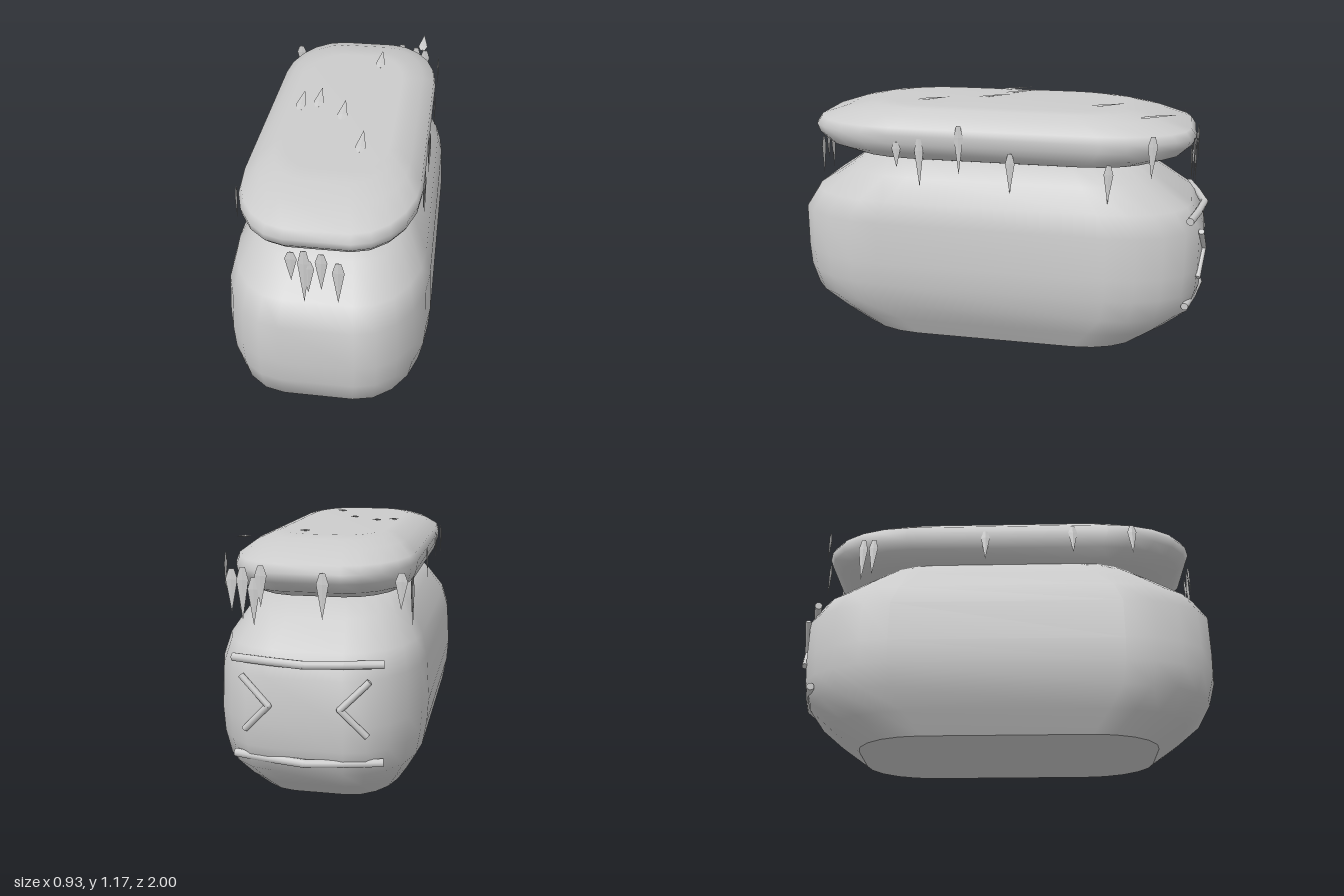
import * as THREE from 'three';

const material = new THREE.MeshStandardMaterial({ color: 0xcccccc });
const tuftMaterial = new THREE.MeshStandardMaterial({ color: 0xcccccc, flatShading: true, side: THREE.DoubleSide });

// Stack of rounded-rectangle rings, each [y, half width, half length]
function loaf(name, rings, { back = 1, point = 0, steps = 5 }) {
  const pos = [], index = [];
  const corners = [[1, 1], [1, -1], [-1, -1], [-1, 1]];
  for (const [y, hx, hz] of rings) {
    const rx = hx * 0.65, rz = hz * 0.45;
    corners.forEach(([sx, sz], q) => {
      for (let i = 0; i <= steps; i++) {
        const a = (q + i / steps) * Math.PI / 2;
        const x = sx * (hx - rx) + rx * Math.sin(a);
        let z = sz * (hz - rz) + rz * Math.cos(a);
        // ends come to a faint ridge at the middle
        z *= 1 - point * Math.abs(x) / 0.4;
        pos.push(x, y, z < 0 ? z * back : z);
      }
    });
  }
  const n = corners.length * (steps + 1);
  for (let r = 0; r < rings.length - 1; r++) {
    for (let i = 0; i < n; i++) {
      const a = r * n + i, b = r * n + (i + 1) % n;
      index.push(a, b, a + n, b, b + n, a + n);
    }
  }
  const geo = new THREE.BufferGeometry();
  geo.setAttribute('position', new THREE.Float32BufferAttribute(pos, 3));
  geo.setIndex(index);
  geo.computeVertexNormals();
  const mesh = new THREE.Mesh(geo, material);
  mesh.name = name;
  return mesh;
}

// Flat pointed tuft hanging from its origin
function tuft(name, x, y, z, length, yaw = 0, pitch = 0, radius = 0.026) {
  const profile = [[0, -length], [radius, -length * 0.24], [radius * 0.45, 0], [0, 0]]
    .map(([r, h]) => new THREE.Vector2(r, h));
  const geo = new THREE.LatheGeometry(profile, 4);
  geo.scale(1, 1, 0.2);
  const mesh = new THREE.Mesh(geo, tuftMaterial);
  mesh.name = name;
  mesh.position.set(x, y, z);
  mesh.rotation.set(pitch, yaw, 0, 'YXZ');
  return mesh;
}

// Round rod through a few points, with closed ends
function rod(name, points, radius) {
  const group = new THREE.Group();
  group.name = name;
  const v = points.map(p => new THREE.Vector3(...p));
  for (let i = 0; i < v.length - 1; i++) {
    const dir = v[i + 1].clone().sub(v[i]);
    const mesh = new THREE.Mesh(new THREE.CylinderGeometry(radius, radius, dir.length(), 10), material);
    mesh.position.copy(v[i]).addScaledVector(dir, 0.5);
    mesh.quaternion.setFromUnitVectors(new THREE.Vector3(0, 1, 0), dir.normalize());
    mesh.name = name + 'Segment';
    group.add(mesh);
    if (i > 0) {
      const joint = new THREE.Mesh(new THREE.SphereGeometry(radius, 10, 8), material);
      joint.position.copy(v[i]);
      joint.name = name + 'Joint';
      group.add(joint);
    }
  }
  return group;
}

export function createModel() {
  const model = new THREE.Group();
  model.name = 'furryLoaf';

  // Plump body; the doubled first ring keeps the base edge sharp
  model.add(loaf('body', [
    [0, 0.001, 0.001], [0, 0.335, 0.715], [0, 0.335, 0.715], [0.1, 0.39, 0.85],
    [0.2, 0.44, 0.965], [0.31, 0.46, 0.995], [0.42, 0.467, 1.0], [0.62, 0.455, 1.0],
    [0.72, 0.43, 0.935], [0.83, 0.365, 0.77], [0.91, 0.30, 0.66], [0.95, 0.001, 0.001],
  ], { back: 0.985 }));

  // Cushion-like slab on top
  const slab = loaf('topSlab', [
    [0.90, 0.001, 0.001], [0.90, 0.28, 0.66], [0.915, 0.33, 0.76], [0.955, 0.38, 0.88],
    [1.0, 0.395, 0.93], [1.04, 0.40, 0.945], [1.075, 0.39, 0.92], [1.12, 0.335, 0.78],
    [1.145, 0.28, 0.66], [1.155, 0.24, 0.58], [1.156, 0.001, 0.001],
  ], { back: 0.985, point: 0.03 });
  model.add(slab);

  // Front fringe: x, top y, length
  for (const [x, y, l] of [[-0.105, 0.98, 0.14], [-0.052, 0.99, 0.26], [0.02, 0.98, 0.18], [0.09, 0.94, 0.2]])
    model.add(tuft('frontTuft', x, y, 0.935, l, 0, -0.04));
  model.add(tuft('frontTuft', -0.035, 0.94, 0.935, 0.16, 0, -0.04));

  // Back fringe: x, z, top y, length
  for (const [x, z, y, l] of [[0.32, -0.9, 1.05, 0.18], [0.27, -0.91, 1.06, 0.22], [0.22, -0.92, 1.02, 0.2],
    [0.19, -0.92, 1.07, 0.17], [-0.07, -0.935, 1.05, 0.19], [-0.38, -0.87, 1.05, 0.15]])
    model.add(tuft('backTuft', x, y, z, l, 0, 0.04));

  // Side fringes: side, z, top y, length
  for (const [s, z, y, l] of [
    [1, 0.45, 1.01, 0.12], [1, 0.34, 1.03, 0.23], [1, 0.15, 1.10, 0.23],
    [1, -0.09, 0.98, 0.19], [1, -0.54, 0.95, 0.18], [1, -0.73, 1.09, 0.19],
    [-1, 0.62, 1.06, 0.16], [-1, 0.33, 1.06, 0.15], [-1, -0.1, 1.04, 0.16],
    [-1, -0.65, 1.0, 0.2], [-1, -0.7, 1.0, 0.23]])
    model.add(tuft(s > 0 ? 'leftSideTuft' : 'rightSideTuft', s * 0.4, y, z, l, s * Math.PI / 2, -0.03, 0.022));

  // Tufts lying on the top, tips raised towards the back: x, z, y
  for (const [x, z, y] of [[0.11, -0.43, 1.155], [-0.22, 0.07, 1.155], [-0.14, 0.03, 1.155],
    [-0.01, 0.14, 1.155], [0.11, 0.42, 1.155], [0.315, -0.67, 1.155]])
    model.add(tuft('topTuft', x, y, z, 0.165, 0, Math.PI / 2 + 0.12, 0.024));

  // Two bent bars across the back
  for (const y of [0.68, 0.255])
    model.add(rod('backBar', [[-0.32, y, -0.915], [-0.16, y, -0.955], [0, y, -0.985], [0.16, y, -0.955], [0.32, y, -0.915]], 0.018));

  // Mirrored angle marks between the bars, points towards the middle
  for (const s of [1, -1]) {
    model.add(rod('backChevron', [[s * 0.27, 0.62, -0.97], [s * 0.15, 0.5, -0.99], [s * 0.26, 0.385, -0.968]], 0.014));
  }
  return model;
}
